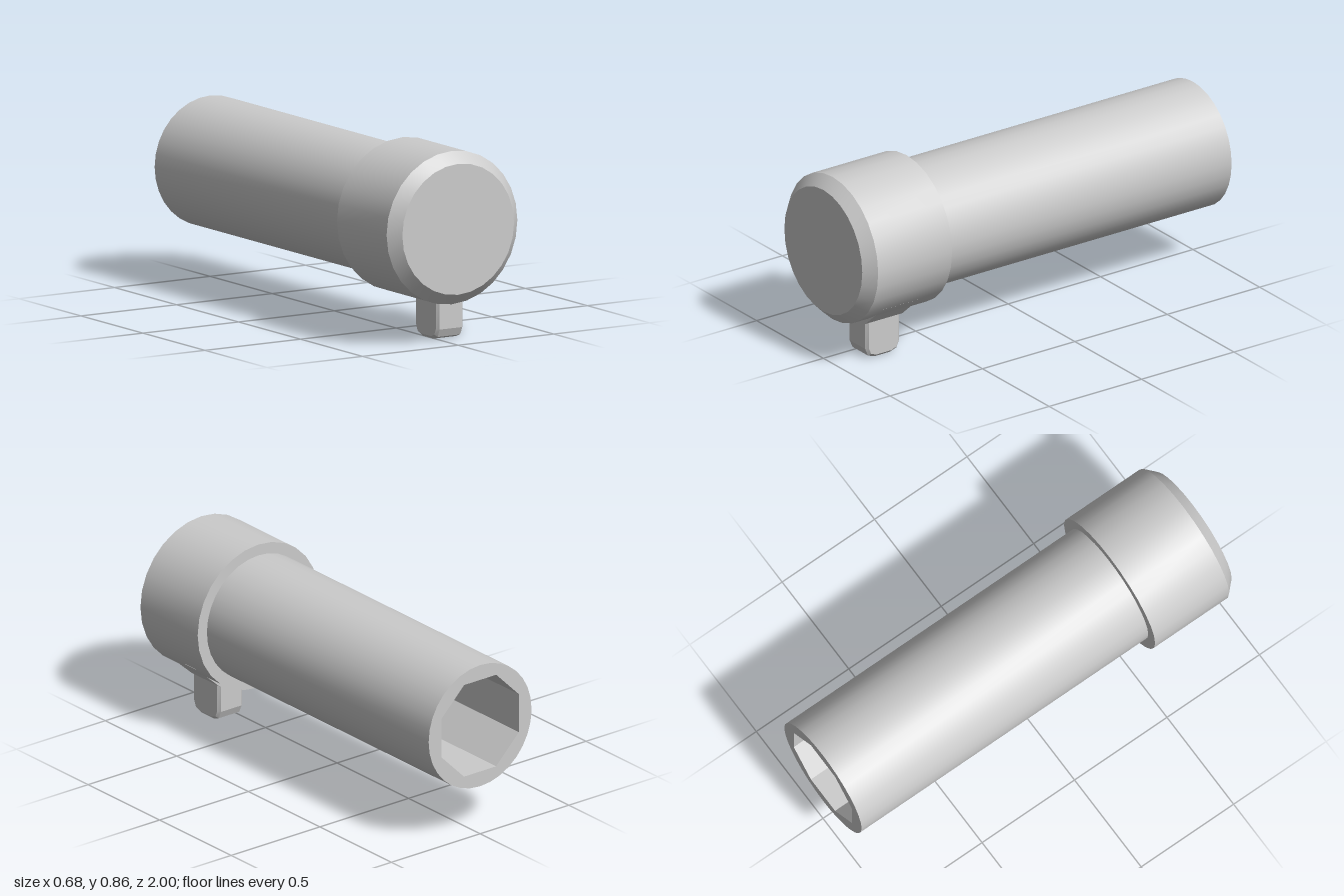
import * as THREE from 'three';
import { toCreasedNormals } from 'three/addons/utils/BufferGeometryUtils.js';

const AXIS_Y = 0.517;

export function createModel() {
  const model = new THREE.Group();
  const material = new THREE.MeshStandardMaterial({ color: 0xcccccc });
  const add = (name, geometry, crease = 0.35) => {
    const mesh = new THREE.Mesh(toCreasedNormals(geometry, crease), material);
    mesh.name = name;
    model.add(mesh);
    return mesh;
  };
  const polygon = (points) => new THREE.Shape(points.map(([x, y]) => new THREE.Vector2(x, y)));

  // Round tube with an octagonal bore, open at the back
  const ring = new THREE.Shape().absarc(0, 0, 0.29, 0, Math.PI * 2, false);
  const bore = [];
  for (let i = 0; i < 8; i++) {
    const a = -(i + 0.5) * Math.PI / 4;
    bore.push(new THREE.Vector2(Math.cos(a) * 0.237, Math.sin(a) * 0.237));
  }
  ring.holes.push(new THREE.Path(bore));
  const tube = add('tube', new THREE.ExtrudeGeometry(ring, { depth: 1.56, bevelEnabled: false, curveSegments: 16 }));
  tube.position.set(0, AXIS_Y, -1);

  // Wider end cap with a chamfered front, closing the bore
  const profile = [[0, 0.55], [0.342, 0.55], [0.342, 0.95], [0.292, 1], [0, 1]];
  const cap = add('endCap', new THREE.LatheGeometry(profile.map(([r, z]) => new THREE.Vector2(r, z)), 28).rotateX(Math.PI / 2));
  cap.position.y = AXIS_Y;

  // Lug below the cap: rounded side profile, extruded across x
  const side = polygon([
    [-0.08, 0.25], [-0.08, 0.05], [-0.068, 0.022], [-0.04, 0.012],
    [0.04, 0.012], [0.068, 0.022], [0.08, 0.05], [0.08, 0.25],
  ]);
  const lug = add('lug', new THREE.ExtrudeGeometry(side, {
    depth: 0.116, bevelEnabled: true, bevelSegments: 1, bevelSize: 0.012, bevelThickness: 0.012,
  }).rotateY(Math.PI / 2), 0.3);
  lug.position.set(-0.003, 0, 0.763);

  // Sloped fillet joining the lug to the cap
  const slope = polygon([[-0.015, 0.174], [0.125, 0.174], [0.25, 0.286], [0.1, 0.3], [-0.015, 0.25]]);
  const fillet = add('lugFillet', new THREE.ExtrudeGeometry(slope, { depth: 0.2, bevelEnabled: false }));
  fillet.position.z = 0.663;

  return model;
}
